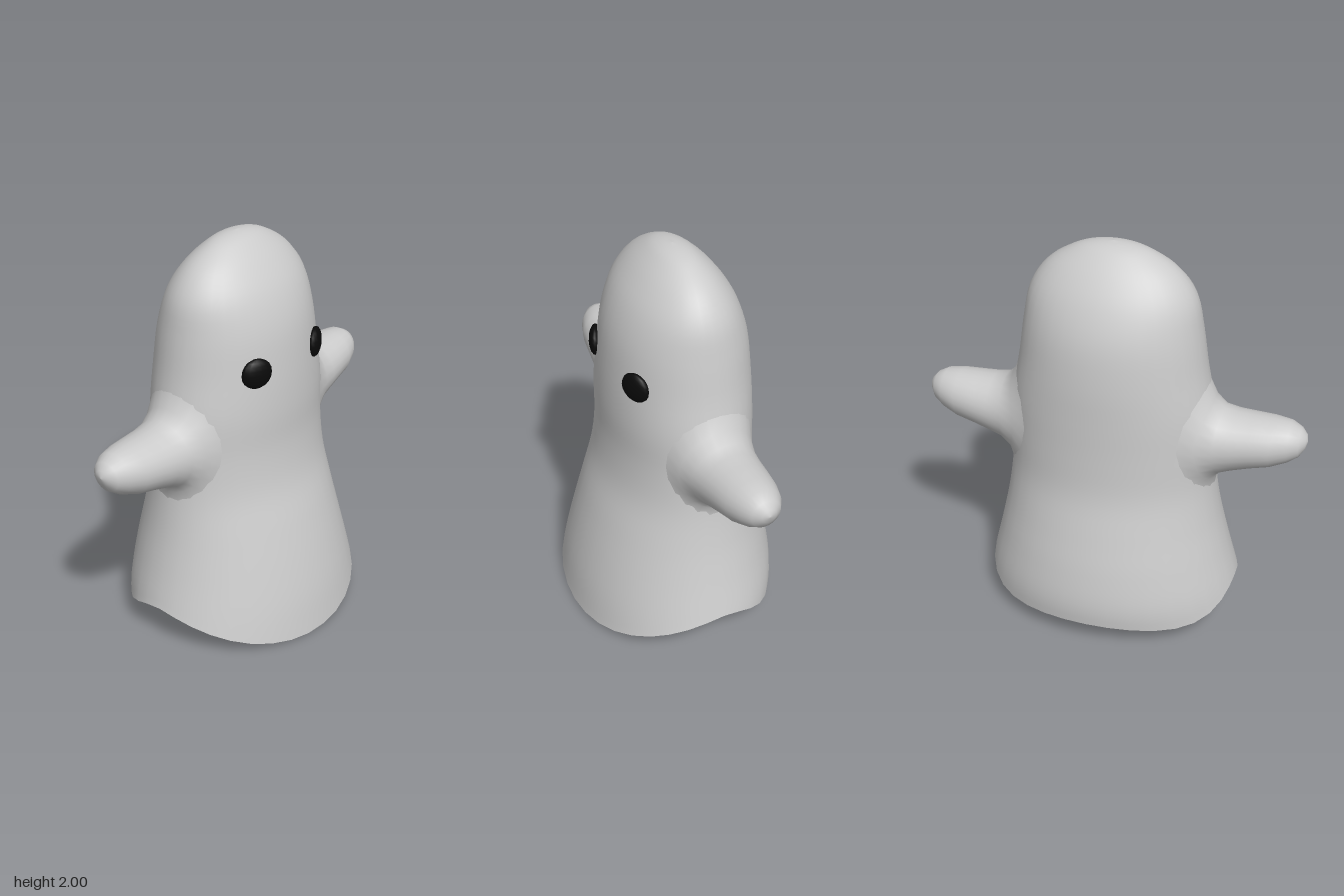
import * as THREE from 'three';

const fabric = new THREE.MeshStandardMaterial({ color: 0xcccccc, side: THREE.DoubleSide });
const black = new THREE.MeshStandardMaterial({ color: 0x0a0a0a });

// Sheet profile: height, half width, front z, back z
const PROFILE = [
  [0, 0.7, 0.53, -0.5], [0.2, 0.652, 0.5, -0.525], [0.4, 0.6, 0.455, -0.5],
  [0.6, 0.555, 0.4, -0.455], [0.8, 0.525, 0.34, -0.41], [1, 0.515, 0.315, -0.398],
  [1.2, 0.503, 0.315, -0.395], [1.4, 0.465, 0.305, -0.39], [1.6, 0.435, 0.28, -0.365],
  [1.76, 0.4, 0.225, -0.305], [1.88, 0.315, 0.145, -0.225], [1.96, 0.19, 0.065, -0.145],
  [1.99, 0.095, 0.012, -0.092], [2, 0, -0.04, -0.04],
];
const smooth = (points) => new THREE.CatmullRomCurve3(points, false, 'catmullrom');
const sections = smooth(PROFILE.map(([, w, f, b]) => new THREE.Vector3(w, (f + b) / 2, (f - b) / 2)));
const heights = smooth(PROFILE.map(([y]) => new THREE.Vector3(0, y, 0)));

// Elliptical cross-section at a given height: half width, centre z, half depth
function sectionAt(y) {
  let lo = 0, hi = 1;
  for (let i = 0; i < 30; i++) {
    const mid = (lo + hi) / 2;
    if (heights.getPoint(mid).y < y) lo = mid; else hi = mid;
  }
  const p = sections.getPoint(hi);
  return { w: p.x, c: p.y, h: p.z };
}

// Skin made of closed rings; point(angle, v) gives [x, y, z]
function ringSkin(around, along, point) {
  const pos = [], index = [];
  for (let j = 0; j <= along; j++) {
    for (let i = 0; i < around; i++) {
      pos.push(...point((i / around) * Math.PI * 2, j / along));
      if (j === along) continue;
      const a = j * around + i, b = j * around + ((i + 1) % around);
      index.push(a, a + around, b, b, a + around, b + around);
    }
  }
  const geo = new THREE.BufferGeometry();
  geo.setAttribute('position', new THREE.Float32BufferAttribute(pos, 3));
  geo.setIndex(index);
  geo.computeVertexNormals();
  return geo;
}

// Wavy hem: low at the front, raised at the sides, half low at the back
function hemHeight(angle) {
  const s = Math.sin(angle);
  if (s > 0) return 0.215 * (1 - s ** 1.5);
  return 0.215 - 0.115 * Math.sin((Math.PI / 2) * (s / 0.78)) ** 2;
}

function bodyPoint(angle, v) {
  let { y } = heights.getPoint(v);
  if (y < 0.6) {
    const hem = hemHeight(angle);
    y = hem + (y / 0.6) * (0.6 - hem);
  }
  const { w, c, h } = sectionAt(y);
  return [w * Math.cos(angle), y, c + h * Math.sin(angle)];
}

// Arm rings: x, top y, bottom y, half depth, how far the ring has left the body surface (0 to 1)
const ARM = [
  [0.5, 1.35, 0.77, 0.235, 0], [0.555, 1.26, 0.83, 0.2, 0.3], [0.575, 1.215, 0.875, 0.175, 0.75],
  [0.62, 1.203, 0.9, 0.163, 1], [0.7, 1.2, 0.925, 0.152, 1], [0.8, 1.198, 0.95, 0.136, 1],
  [0.88, 1.19, 0.985, 0.108, 1], [0.93, 1.165, 1.02, 0.075, 1], [0.957, 1.135, 1.065, 0.037, 1],
  [0.965, 1.1, 1.1, 0, 1],
];

function armGeometry(side) {
  return ringSkin(24, ARM.length - 1, (angle, v) => {
    const [x, top, bottom, depth, free] = ARM[Math.round(v * (ARM.length - 1))];
    const y = (top + bottom) / 2 + ((top - bottom) / 2) * Math.cos(angle);
    const z = -0.045 - side * depth * Math.sin(angle);
    const { w, c, h } = sectionAt(y);
    const surfaceX = w * Math.sqrt(1 - ((z - c) / h) ** 2) - 0.004;
    return [side * THREE.MathUtils.lerp(surfaceX, x, free), y, z];
  });
}

export function createModel() {
  const model = new THREE.Group();
  model.name = 'sheetGhost';
  const add = (name, geometry, material) => {
    const mesh = new THREE.Mesh(geometry, material);
    mesh.name = name;
    model.add(mesh);
    return mesh;
  };

  // Draped body, open at the hem
  add('body', ringSkin(36, 52, bodyPoint), fabric);

  for (const [label, side] of [['left', 1], ['right', -1]]) {
    // Stubby arm flowing out of the body
    add(label + 'Arm', armGeometry(side), fabric);

    // Flattened eye set on the curved face
    const eye = add(label + 'Eye', new THREE.SphereGeometry(1, 14, 10), black);
    eye.scale.set(0.078, 0.075, 0.032);
    eye.position.set(side * 0.228, 1.43, 0.26);
    eye.rotation.y = side * 0.45;
  }
  return model;
}
